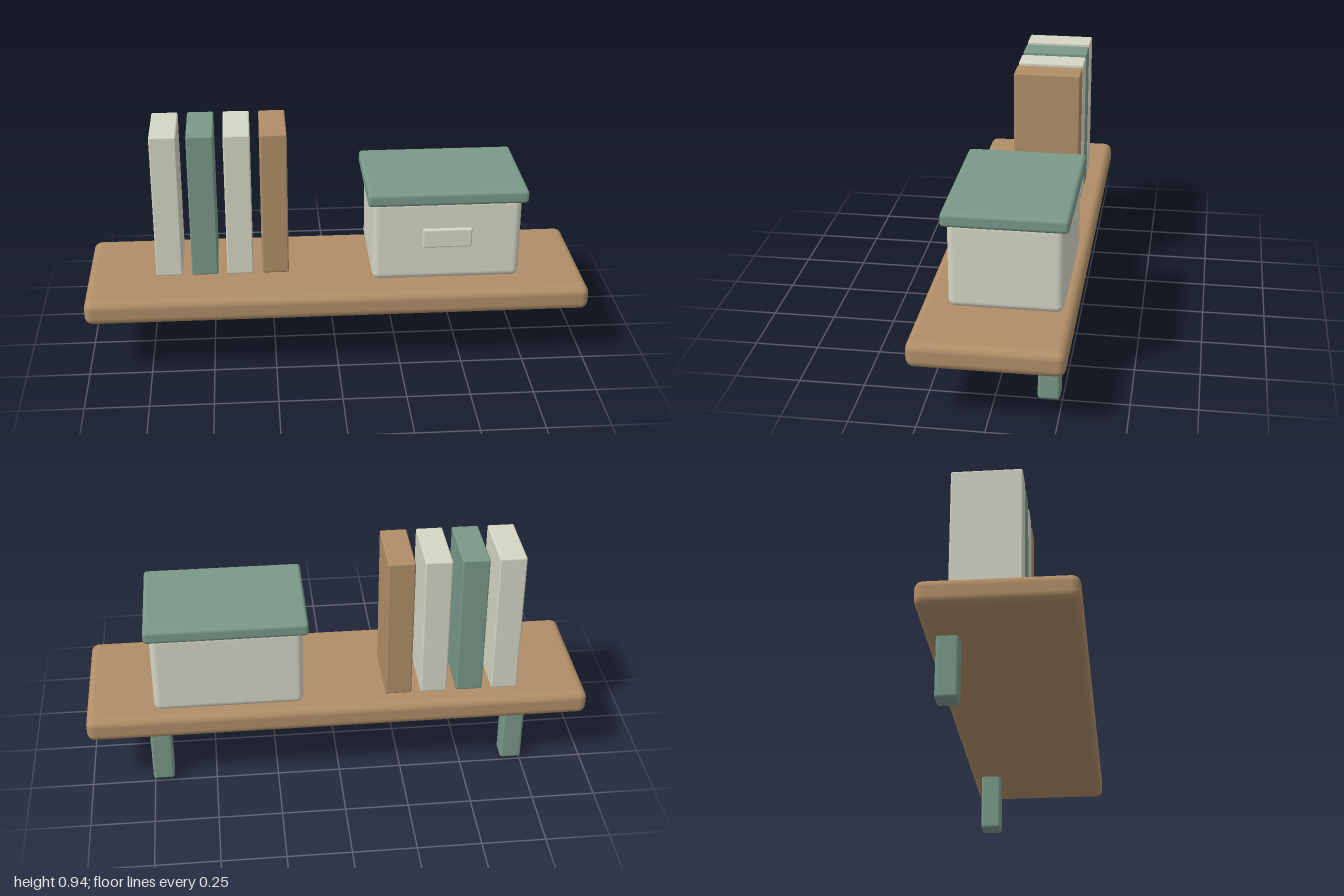
import * as THREE from 'three';
import { RoundedBoxGeometry } from 'three/addons/geometries/RoundedBoxGeometry.js';

function makeMaterial(name, color) {
  const material = new THREE.MeshStandardMaterial({ color });
  material.name = name;
  return material;
}

export function createModel() {
  const wood = makeMaterial('warm wood', 0xb08e67);
  const green = makeMaterial('sage green', 0x799889);
  const cream = makeMaterial('cream', 0xd5d5c5);

  const model = new THREE.Group();
  model.name = 'wallShelf';

  // Rounded block given by its [min, max] extents on each axis
  function block(name, material, x, y, z, radius, parent = model) {
    const size = [x, y, z].map(([a, b]) => b - a);
    const mesh = new THREE.Mesh(new RoundedBoxGeometry(...size, 3, radius), material);
    mesh.position.set((x[0] + x[1]) / 2, (y[0] + y[1]) / 2, (z[0] + z[1]) / 2);
    mesh.name = name;
    parent.add(mesh);
  }

  // Shelf board
  block('board', wood, [-1, 1], [0.237, 0.337], [-0.285, 0.285], 0.032);

  // Brackets under the back of the board
  for (const side of [-1, 1]) {
    const x = side * 0.714;
    block(side > 0 ? 'leftBracket' : 'rightBracket', green,
      [x - 0.043, x + 0.043], [0, 0.25], [-0.241, -0.157], 0.012);
  }

  // Row of upright books
  const books = new THREE.Group();
  books.name = 'books';
  model.add(books);
  [cream, green, cream, wood].forEach((material, i) => {
    const x = -0.671 + i * 0.143;
    block(`book${i + 1}`, material,
      [x - 0.053, x + 0.053], [0.336, 0.938], [-0.206, 0.065], 0.007, books);
  });

  // Storage box with overhanging lid and label plate
  const box = new THREE.Group();
  box.name = 'storageBox';
  model.add(box);
  block('boxBody', cream, [0.14, 0.73], [0.345, 0.69], [-0.248, 0.178], 0.028, box);
  block('boxLid', green, [0.119, 0.751], [0.674, 0.729], [-0.266, 0.198], 0.015, box);
  block('labelPlate', cream, [0.337, 0.533], [0.491, 0.57], [0.168, 0.192], 0.007, box);

  return model;
}
